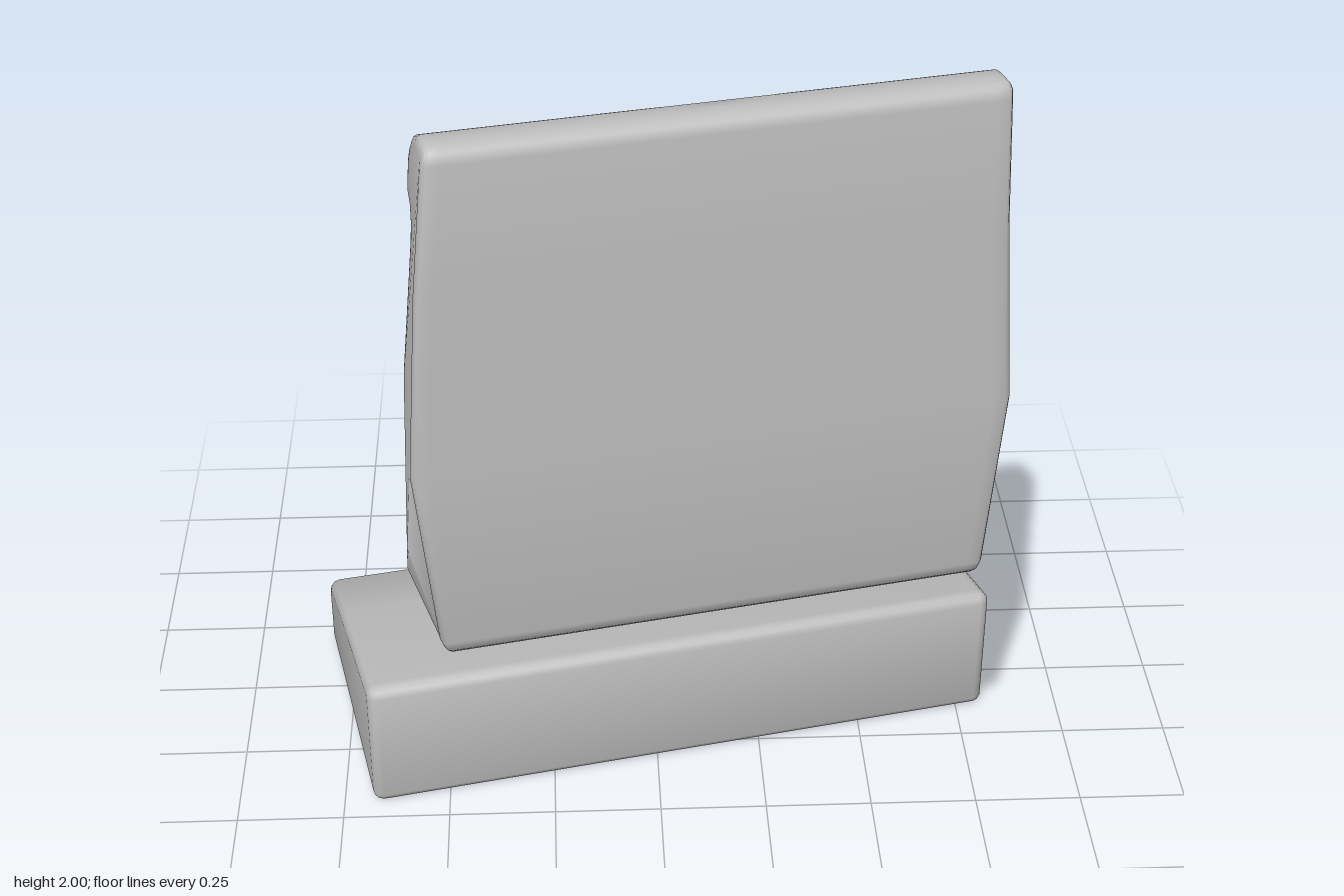
import * as THREE from 'three';
import { toCreasedNormals } from 'three/addons/utils/BufferGeometryUtils.js';

const grey = new THREE.MeshStandardMaterial({ color: 0xc0c0c0 });
grey.name = 'grey';

// Piecewise-linear lookup through [key, value] pairs
function lookup(pairs, t) {
  if (t <= pairs[0][0]) return pairs[0][1];
  for (let i = 1; i < pairs.length; i++) {
    const [a, va] = pairs[i - 1], [b, vb] = pairs[i];
    if (t <= b) return va + (vb - va) * (t - a) / (b - a);
  }
  return pairs[pairs.length - 1][1];
}

const bump = (t, centre, width) => Math.exp(-(((t - centre) / width) ** 2));

// Extrudes a (depth, height) profile sideways along x, with rounded ends
function sideways(points, width, steps, bevel) {
  const shape = new THREE.Shape(points.map(([d, y]) => new THREE.Vector2(d, y)));
  const geo = new THREE.ExtrudeGeometry(shape, {
    depth: width - 2 * bevel, steps, bevelEnabled: true, bevelSegments: 3,
    bevelSize: bevel, bevelThickness: bevel, bevelOffset: -bevel,
  });
  geo.translate(0, 0, -(width - 2 * bevel) / 2);
  return geo.rotateY(Math.PI / 2); // depth now runs towards -z
}

function finish(geo, name) {
  const mesh = new THREE.Mesh(toCreasedNormals(geo, 0.95), grey);
  mesh.name = name;
  return mesh;
}

// Wedge with a top that falls towards the back
function makeBase() {
  const profile = [
    [-0.32, 0], [0.315, 0.004], [0.328, 0.01], [0.335, 0.025],
    [0.335, 0.165], [0.328, 0.182], [0.31, 0.198], [0.1, 0.25], [-0.1, 0.291],
    [-0.298, 0.328], [-0.318, 0.33], [-0.33, 0.322], [-0.335, 0.305],
    [-0.335, 0.018], [-0.33, 0.006],
  ];
  const mesh = finish(sideways(profile, 1.53, 1, 0.024), 'wedgeBase');
  mesh.position.set(0, 0, -0.285);
  return mesh;
}

// Upright slab with a rail along the top and bottom of its back
function makePanel() {
  const profile = [
    [0, 0.9], [0.005, 0.878], [0.02, 0.864], [0.07, 0.864], [0.115, 0.878],
    [0.143, 0.893], [0.155, 0.915], [0.156, 0.955], [0.148, 0.985],
    [0.125, 1.002], [0.104, 1.02], [0.094, 1.05],
  ];
  for (let i = 0; i <= 22; i++) profile.push([0.09, 1.1 + i * 0.031]);
  profile.push(
    [0.096, 1.815], [0.112, 1.834], [0.143, 1.842], [0.155, 1.856], [0.156, 1.92],
    [0.147, 1.95], [0.125, 1.98], [0.09, 1.997], [0.06, 2], [0.025, 2],
    [0.012, 1.992], [0.008, 1.97], [0.006, 1.7], [0, 1.3],
  );
  const geo = sideways(profile, 2, 48, 0.02);

  // Outline half widths by height, on each side
  const plus = [[0.865, 0.57], [1.05, 0.622], [1.5, 0.607], [1.8, 0.575], [2, 0.573]];
  const minus = [[0.865, 0.565], [1.05, 0.628], [1.5, 0.612], [2, 0.563]];
  const p = geo.attributes.position;
  for (let i = 0; i < p.count; i++) {
    const u = p.getX(i), y = p.getY(i);
    let depth = -p.getZ(i);
    let half = lookup(u > 0 ? plus : minus, y);
    // rails stop a little short of the slab's edge
    half += (Math.min(half, 0.575) - half) * THREE.MathUtils.smoothstep(depth, 0.09, 0.13);
    const x = u * half;
    if (depth > 0.06 && y > 1.02 && y < 1.83) {
      // hollow, folds, and two small ledges above pockets
      const inside = THREE.MathUtils.smoothstep(y, 1.02, 1.14)
        * (1 - THREE.MathUtils.smoothstep(y, 1.74, 1.83))
        * (1 - THREE.MathUtils.smoothstep(Math.abs(u), 0.82, 0.97));
      const across = bump(x, 0.22, 0.07) + bump(x, -0.18, 0.13);
      const pocket = 1 - THREE.MathUtils.smoothstep(y, 1.29, 1.35);
      const fold = 0.008 * Math.cos(x * 15.5 - 0.3);
      depth += inside * (-0.018 + fold + across * (0.03 * bump(y, 1.36, 0.035) - 0.018 * pocket));
    }
    // slight dip in the middle of the top rail
    if (y > 1.83 && depth > 0.1) depth -= 0.02 * bump(x, 0.02, 0.06);
    p.setXYZ(i, x, y, -depth);
  }
  const mesh = finish(geo, 'backPanel');
  mesh.position.set(0.1, 0, 0.648);
  return mesh;
}

export function createModel() {
  const model = new THREE.Group();
  model.name = 'wedgeAndPanel';
  for (const part of [makeBase(), makePanel()]) {
    part.rotation.y = 0.211; // both parts are turned by the same angle
    model.add(part);
  }
  return model;
}
